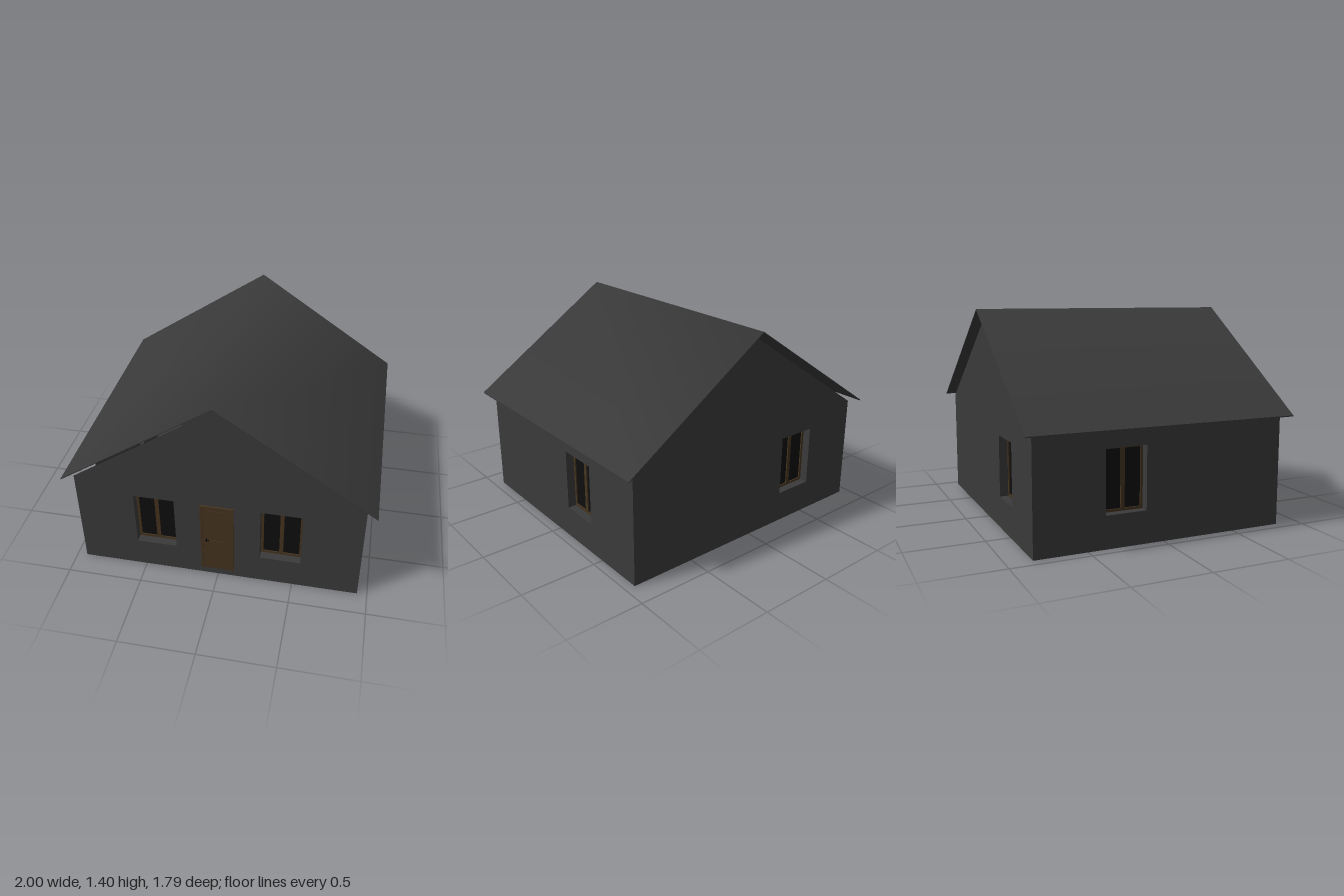
import * as THREE from 'three';
import { mergeGeometries } from 'three/addons/utils/BufferGeometryUtils.js';

const mat = (name, color, side = THREE.FrontSide) => {
  const m = new THREE.MeshStandardMaterial({ color, side });
  m.name = name;
  return m;
};

export function createModel() {
  const plaster = mat('charcoal plaster', 0x3a3a3a);
  const roofing = mat('charcoal roofing', 0x393939);
  const wood = mat('dark brown wood', 0x453420);
  const glass = mat('black glass', 0x0e0e0e);
  const metal = mat('black metal', 0x080808);

  const house = new THREE.Group();
  house.name = 'house';
  const add = (parent, name, geometry, material) => {
    const mesh = new THREE.Mesh(geometry, material);
    mesh.name = name;
    parent.add(mesh);
    return mesh;
  };
  // Box given by its low and high corners
  const box = (x0, x1, y0, y1, z0, z1) =>
    new THREE.BoxGeometry(x1 - x0, y1 - y0, z1 - z0)
      .translate((x0 + x1) / 2, (y0 + y1) / 2, (z0 + z1) / 2);

  const W = 0.935, D = 0.84, T = 0.11, EAVE = 0.72, APEX = 1.35;
  const Y0 = 0.208, Y1 = 0.61, WW = 0.268; // window opening
  const slopeY = x => APEX - (APEX - EAVE) * x / W;

  // Wall face with window holes; gable faces get a peak
  const wallFace = (half, eave, gable, centers) => {
    const s = new THREE.Shape();
    s.moveTo(-half, 0).lineTo(half, 0).lineTo(half, eave);
    if (gable) s.lineTo(0, APEX);
    s.lineTo(-half, eave).closePath();
    for (const c of centers) {
      const a = c - WW / 2, b = c + WW / 2;
      const h = new THREE.Path();
      h.moveTo(a, Y0).lineTo(a, Y1).lineTo(b, Y1).lineTo(b, Y0).closePath();
      s.holes.push(h);
    }
    return new THREE.ShapeGeometry(s);
  };

  // Four inward-facing sides of a window opening, from z = d back to d - T
  const reveal = (c, d) => {
    const h = Y1 - Y0, cy = (Y0 + Y1) / 2, z = d - T / 2;
    return mergeGeometries([
      new THREE.PlaneGeometry(T, h).rotateY(Math.PI / 2).translate(c - WW / 2, cy, z),
      new THREE.PlaneGeometry(T, h).rotateY(-Math.PI / 2).translate(c + WW / 2, cy, z),
      new THREE.PlaneGeometry(WW, T).rotateX(-Math.PI / 2).translate(c, Y0, z),
      new THREE.PlaneGeometry(WW, T).rotateX(Math.PI / 2).translate(c, Y1, z),
    ]);
  };

  // Two-pane window set back in its opening
  const addWindow = (parent, c, d) => {
    const g = new THREE.Group();
    g.name = 'window';
    const a = c - WW / 2, b = c + WW / 2, f = 0.016, z0 = d - 0.08, z1 = d - 0.055;
    add(g, 'windowFrame', mergeGeometries([
      box(a, a + f, Y0, Y1, z0, z1),
      box(b - f, b, Y0, Y1, z0, z1),
      box(a + f, b - f, Y0, Y0 + f, z0, z1),
      box(a + f, b - f, Y1 - f, Y1, z0, z1),
      box(c - 0.013, c + 0.013, Y0 + f, Y1 - f, z0, z1),
    ]), wood);
    add(g, 'windowPanes', box(a + f, b - f, Y0 + f, Y1 - f, z0 + 0.008, z1 - 0.008), glass);
    parent.add(g);
  };

  // Walls: each has an outer and an inner skin, turned into place
  const walls = [
    { name: 'frontWall', turn: 0, gable: true, windows: [-0.415, 0.415] },
    { name: 'backWall', turn: Math.PI, gable: true, windows: [0.415] },
    { name: 'leftWall', turn: Math.PI / 2, gable: false, windows: [0.252] },
    { name: 'rightWall', turn: -Math.PI / 2, gable: false, windows: [-0.252] },
  ];
  for (const { name, turn, gable, windows } of walls) {
    const g = new THREE.Group();
    g.name = name;
    const half = gable ? W : D, d = gable ? D : W;
    add(g, 'outerSkin', wallFace(half, EAVE, gable, windows).translate(0, 0, d), plaster);
    add(g, 'innerSkin', wallFace(half - T, slopeY(W - T), gable, windows.map(c => -c))
      .rotateY(Math.PI).translate(0, 0, d - T), plaster);
    for (const c of windows) {
      add(g, 'windowReveal', reveal(c, d), plaster);
      addWindow(g, c, d);
    }
    g.rotation.y = turn;
    house.add(g);
  }
  add(house, 'floor', box(-W + 0.001, W - 0.001, 0, 0.01, -D + 0.001, D - 0.001), plaster);

  // Front door with frame, leaf, raised panels and handle
  const door = new THREE.Group();
  door.name = 'frontDoor';
  add(door, 'doorFrame', mergeGeometries([
    box(-0.11, -0.095, 0.05, 0.61, 0.73, 0.852),
    box(0.095, 0.11, 0.05, 0.61, 0.73, 0.852),
    box(-0.095, 0.095, 0.595, 0.61, 0.73, 0.852),
  ]), wood);
  add(door, 'doorLeaf', box(-0.095, 0.095, 0.05, 0.595, 0.73, 0.843), wood);
  for (const [y0, y1] of [[0.08, 0.31], [0.34, 0.57]])
    add(door, 'doorPanel', box(-0.05, 0.07, y0, y1, 0.84, 0.846), wood);
  add(door, 'doorHandle', mergeGeometries([
    box(-0.075, -0.054, 0.317, 0.323, 0.856, 0.862),
    box(-0.075, -0.069, 0.317, 0.323, 0.84, 0.856),
    box(-0.075, -0.069, 0.29, 0.3, 0.84, 0.846),
  ]), metal);
  house.add(door);

  // Thin roof: sheets run left eave, ridge, right eave with a soft ridge
  const RZ = 0.895, RT = 0.007;
  const sheet = (drop, flip) => {
    const pos = [];
    for (const [x, y] of [[-1, 0.73], [0, 1.4], [1, 0.73]])
      pos.push(x, y - drop, -RZ, x, y - drop, RZ);
    const idx = [];
    for (const i of [0, 2])
      idx.push(...(flip ? [i, i + 2, i + 1, i + 1, i + 2, i + 3]
        : [i, i + 1, i + 2, i + 1, i + 3, i + 2]));
    const g = new THREE.BufferGeometry();
    g.setAttribute('position', new THREE.Float32BufferAttribute(pos, 3));
    g.setIndex(idx);
    g.computeVertexNormals();
    return g;
  };
  const roof = new THREE.Group();
  roof.name = 'roof';
  add(roof, 'roofTop', sheet(0, false), roofing);
  add(roof, 'roofUnderside', sheet(RT, true), roofing);

  // Gable-end edges and eave edges closing the sheets
  const edge = new THREE.Shape();
  edge.moveTo(-1, 0.73).lineTo(-1, 0.73 - RT).lineTo(0, 1.4 - RT)
    .lineTo(1, 0.73 - RT).lineTo(1, 0.73).lineTo(0, 1.4).closePath();
  for (const turn of [0, Math.PI]) {
    add(roof, 'gableEdge', new THREE.ShapeGeometry(edge).translate(0, 0, RZ).rotateY(turn), roofing);
    add(roof, 'eaveEdge', new THREE.PlaneGeometry(2 * RZ, RT)
      .translate(0, 0.73 - RT / 2, 1).rotateY(turn + Math.PI / 2), roofing);
  }
  house.add(roof);
  return house;
}
